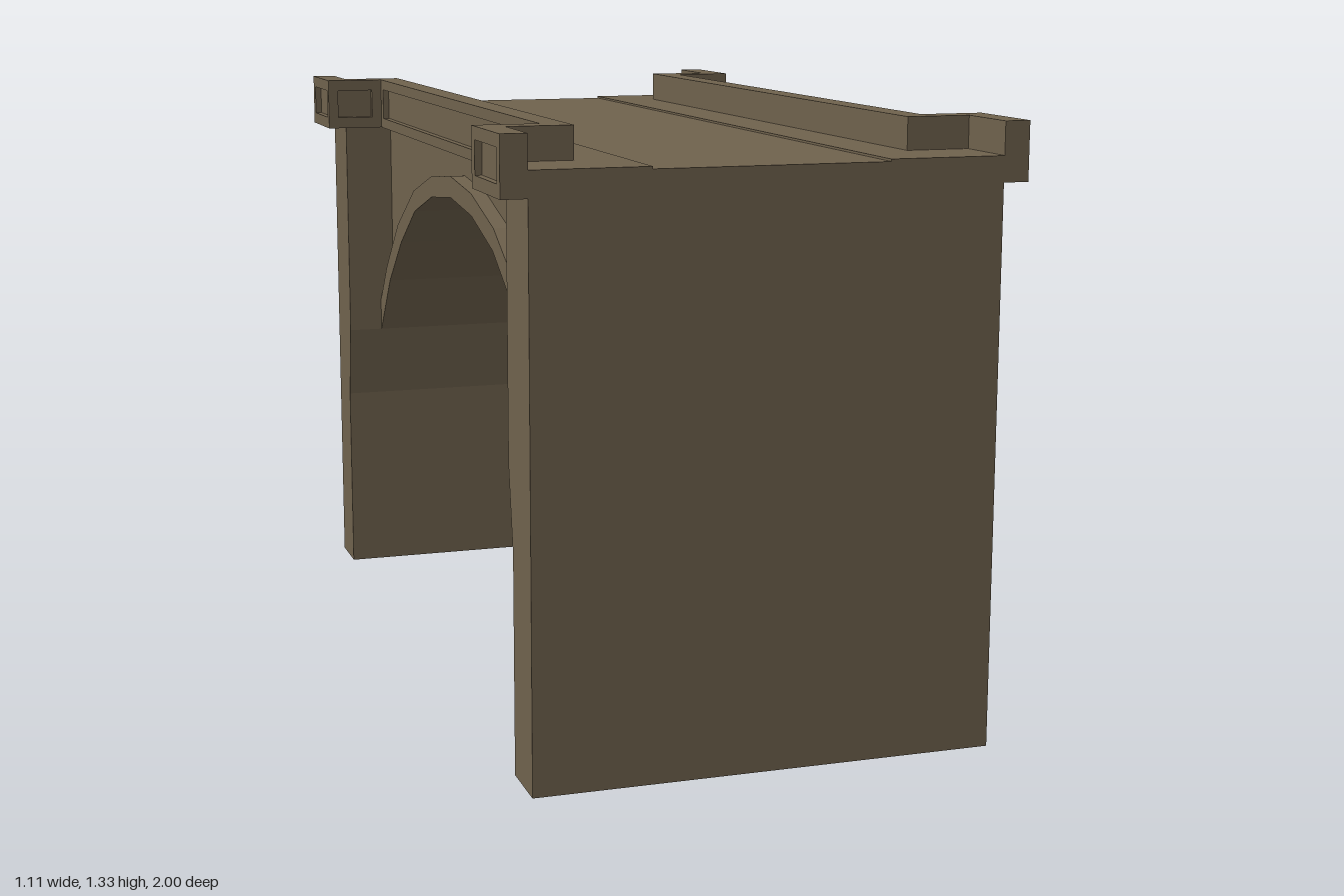
import * as THREE from 'three';

const stone = new THREE.MeshStandardMaterial({ color: 0x6f624d });
stone.name = 'brown stone';

// Right half of the arch soffit and of the arch ring's outer edge, as [z, y]
const SOFFIT = [[0.835, 0.65], [0.71, 0.8], [0.56, 0.92], [0.39, 1.02], [0.2, 1.075], [0, 1.095]];
const RING = [[0.835, 0.73], [0.75, 0.83], [0.6, 0.96], [0.4, 1.07], [0.2, 1.125], [0, 1.145]];
const WALL = 0.38, FACE = 0.415, DECK = 1.25;
const BASE = 1.2, TOP = 1.325, INSET = 0.015;

// Mirror a half curve into a full span from +z to -z
const span = (half) => [...half, ...half.slice(0, -1).reverse().map(([z, y]) => [-z, y])];
const sorted = (a, b) => [Math.min(a, b), Math.max(a, b)];

function add(parent, name, geometry) {
  const mesh = new THREE.Mesh(geometry, stone);
  mesh.name = name;
  parent.add(mesh);
  return mesh;
}

// Box given by its limits
function block(parent, name, xs, ys, zs) {
  const [[x0, x1], [y0, y1], [z0, z1]] = [xs, ys, zs].map((r) => sorted(...r));
  const g = new THREE.BoxGeometry(x1 - x0, y1 - y0, z1 - z0);
  g.translate((x0 + x1) / 2, (y0 + y1) / 2, (z0 + z1) / 2);
  return add(parent, name, g);
}

// Extrude a [z, y] shape between two x positions
function acrossX(shape, a, b) {
  const [x0, x1] = sorted(a, b);
  const g = new THREE.ExtrudeGeometry(shape, { depth: x1 - x0, bevelEnabled: false });
  g.rotateY(-Math.PI / 2);
  g.translate(x1, 0, 0);
  return g;
}

const polygon = (points) => new THREE.Shape(points.map(([a, b]) => new THREE.Vector2(a, b)));

// Rectangle with a rectangular opening
function frameShape(outer, hole, holeY) {
  const rect = ([a, b], [c, d]) => [[a, c], [b, c], [b, d], [a, d]];
  const shape = polygon(rect(sorted(...outer), [BASE, TOP]));
  const opening = rect(sorted(...hole), holeY).reverse();
  shape.holes.push(new THREE.Path(opening.map(([a, b]) => new THREE.Vector2(a, b))));
  return shape;
}

// L-shaped corner post with recessed panels on its two visible faces
function cornerPost(parent, sx, sz) {
  const post = new THREE.Group();
  post.name = 'cornerPost';
  parent.add(post);
  const X = (a, b) => [a * sx, b * sx], Z = (a, b) => [a * sz, b * sz];
  const ys = [BASE, TOP], holeY = [1.228, 1.298];
  const back = 0.555 - INSET;
  block(post, 'postReturn', X(0.36, back), ys, Z(0.78 + INSET, 0.835));
  block(post, 'postWing', X(0.5, back), ys, Z(0.835, 1));
  add(post, 'postOuterFrame',
    acrossX(frameShape(Z(0.78, 1), Z(0.805, 0.975), holeY), back * sx, 0.555 * sx));
  const inner = new THREE.ExtrudeGeometry(
    frameShape(X(0.36, back), X(0.44, 0.53), holeY), { depth: INSET, bevelEnabled: false });
  inner.translate(0, 0, sorted(...Z(0.78, 0.78 + INSET))[0]);
  add(post, 'postInnerFrame', inner);
}

export function createModel() {
  const bridge = new THREE.Group();
  bridge.name = 'archBridge';

  // Arched body between the piers
  const body = polygon([...span(SOFFIT), [-0.835, DECK], [0.835, DECK]]);
  add(bridge, 'archBody', acrossX(body, -WALL, WALL));

  // Piers with a slight haunch where the arch springs
  for (const s of [1, -1]) {
    const profile = [[1, 0], [1, DECK], [0.835, DECK], [0.835, 0.65], [0.865, 0.47], [0.865, 0]];
    add(bridge, 'pier', acrossX(polygon(profile.map(([z, y]) => [z * s, y])), -0.5, 0.5));
  }

  const ring = polygon([...span(SOFFIT), ...span(RING).reverse()]);
  for (const sx of [1, -1]) {
    // Projecting arch ring
    add(bridge, 'archRing', acrossX(ring, WALL * sx, FACE * sx));

    // Raised deck edges
    block(bridge, 'deckEdge', [0.25 * sx, 0.36 * sx], [DECK, 1.255], [-1, 1]);

    // Parapet with a long recessed panel
    block(bridge, 'parapet', [0.36 * sx, (FACE - INSET) * sx], [BASE, TOP], [-0.78, 0.78]);
    add(bridge, 'parapetFrame', acrossX(
      frameShape([-0.78, 0.78], [-0.755, 0.755], [1.225, 1.3]), (FACE - INSET) * sx, FACE * sx));

    for (const sz of [1, -1]) {
      block(bridge, 'deckCorner', [0.36 * sx, 0.5 * sx], [DECK, 1.255], [0.835 * sz, sz]);
      cornerPost(bridge, sx, sz);
    }
  }
  return bridge;
}
